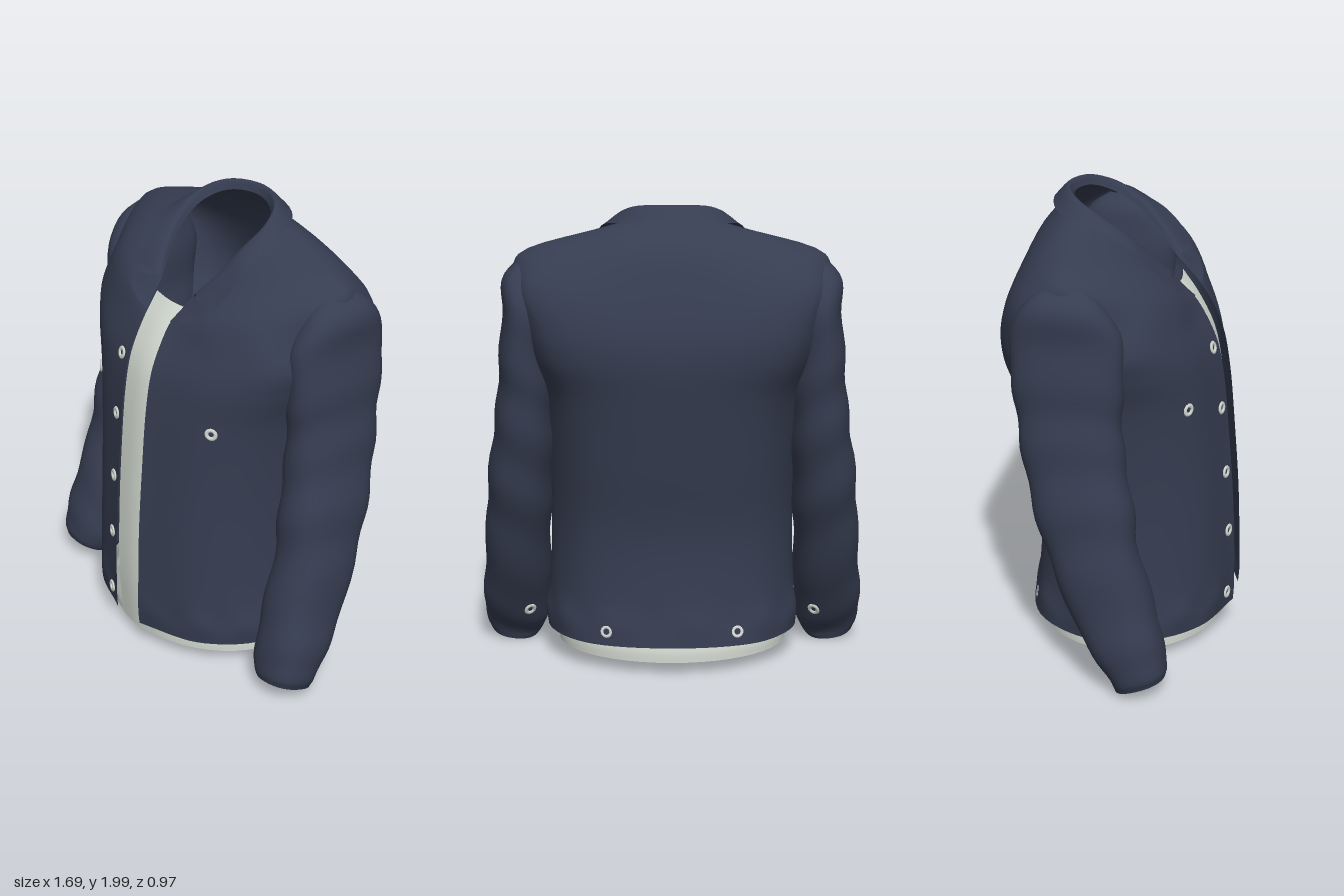
import * as THREE from 'three';

const V = (x, y, z) => new THREE.Vector3(x, y, z);
const mat = (name, color) => {
  const m = new THREE.MeshStandardMaterial({ color, side: THREE.DoubleSide });
  m.name = name;
  return m;
};

// Smooth surface through rows of control points; tweak(point, u, v) adds folds.
function loft(rows, nu, nv, closed = false, tweak = null) {
  const fine = rows.map(r => new THREE.CatmullRomCurve3(r, closed).getPoints(nu));
  const cols = [];
  for (let i = 0; i <= nu; i++) {
    cols.push(new THREE.CatmullRomCurve3(fine.map(r => r[i])).getPoints(nv));
  }
  const pos = [], index = [], w = closed ? nu : nu + 1;
  for (let j = 0; j <= nv; j++) {
    for (let i = 0; i < w; i++) {
      const p = cols[i][j];
      if (tweak) tweak(p, i / nu, j / nv);
      pos.push(p.x, p.y, p.z);
    }
  }
  for (let j = 0; j < nv; j++) {
    for (let i = 0; i < nu; i++) {
      const a = j * w + i, b = j * w + (i + 1) % w;
      index.push(a, b, a + w, b, b + w, a + w);
    }
  }
  const g = new THREE.BufferGeometry();
  g.setAttribute('position', new THREE.Float32BufferAttribute(pos, 3));
  g.setIndex(index);
  g.computeVertexNormals();
  return g;
}

// Half a row (front edge to centre back), mirrored into a whole row
const mirrorRow = half => [
  ...half.map(p => V(...p)),
  ...half.slice(0, -1).reverse().map(([x, y, z]) => V(-x, y, z)),
];

// Horizontal body section, open at the front
function bodyRow([y, w, zf, zb, p]) {
  const angles = [Math.asin(0.08 / w), 0.7, 1.2, 1.75, 2.45, Math.PI];
  return mirrorRow(angles.map(t => {
    const c = Math.cos(t), s = Math.abs(Math.sin(t));
    return c > 0 ? [w * s, y, zf * c] : [t === Math.PI ? 0 : w * Math.pow(s, p), y, zb * Math.pow(-c, p)];
  }));
}

export function createModel() {
  const group = new THREE.Group();
  const navy = mat('navy cloth', 0x363d51);
  const white = mat('white cloth', 0xd8dfd6);
  const metal = mat('button metal', 0xd8dcd6);
  const add = (name, geo, m) => {
    const mesh = new THREE.Mesh(geo, m);
    mesh.name = name;
    group.add(mesh);
    return mesh;
  };

  // Jacket body: hem to chest, then the yoke closing in to the neckline
  const neck = [[0.11, 1.65, 0.19], [0.165, 1.74, 0.1], [0.195, 1.83, 0.01],
    [0.2, 1.9, -0.1], [0.14, 1.945, -0.19], [0, 1.96, -0.235]];
  const body = add('jacketBody', loft([
    ...[
      [0.13, 0.545, 0.485, -0.415, 0.85],
      [0.2, 0.55, 0.49, -0.405, 0.85],
      [0.32, 0.535, 0.488, -0.385, 0.85],
      [0.6, 0.525, 0.478, -0.372, 0.8],
      [0.9, 0.535, 0.455, -0.42, 0.75],
      [1.2, 0.57, 0.425, -0.468, 0.68],
      [1.36, 0.62, 0.393, -0.488, 0.55],
      [1.48, 0.645, 0.34, -0.482, 0.48],
    ].map(bodyRow),
    mirrorRow([[0.08, 1.56, 0.285], [0.3, 1.62, 0.24], [0.5, 1.66, 0.13],
      [0.67, 1.68, -0.12], [0.59, 1.66, -0.36], [0, 1.66, -0.435]]),
    mirrorRow([[0.1, 1.61, 0.235], [0.28, 1.72, 0.14], [0.48, 1.78, 0.01],
      [0.645, 1.78, -0.15], [0.53, 1.79, -0.28], [0, 1.82, -0.37]]),
    mirrorRow(neck),
  ], 80, 60, false, (p, u) => {
    // gathered puckers just above the hem
    const k = 1 + 0.012 * Math.sin(u * 75) * Math.exp(-Math.pow((p.y - 0.23) / 0.06, 2));
    p.z *= k;
    if (Math.abs(p.x) > 0.15) p.x *= k;
  }), navy);

  // Turned-down collar: neckline, fold, outer edge
  add('collar', loft([
    mirrorRow(neck),
    mirrorRow([[0.13, 1.675, 0.2], [0.18, 1.77, 0.11], [0.21, 1.86, 0.02],
      [0.22, 1.94, -0.1], [0.16, 1.985, -0.2], [0, 1.997, -0.26]]),
    mirrorRow([[0.29, 1.68, 0.205], [0.31, 1.75, 0.15], [0.315, 1.82, 0.07],
      [0.295, 1.895, -0.09], [0.2, 1.925, -0.26], [0, 1.94, -0.32]]),
  ], 48, 10), navy);

  // Sleeves: [y, inner x, outer x, back z, front z, tilt]
  const sleeveSections = [
    [1.765, 0.6, 0.64, -0.21, -0.09, 0],
    [1.69, 0.55, 0.71, -0.31, 0.01, 0],
    [1.55, 0.525, 0.715, -0.37, 0.085, 0],
    [1.35, 0.515, 0.733, -0.365, 0.09, 0],
    [1.18, 0.5, 0.745, -0.345, 0.085, 0.04],
    [1, 0.505, 0.77, -0.315, 0.1, 0.1],
    [0.8, 0.515, 0.797, -0.265, 0.135, 0.18],
    [0.6, 0.53, 0.813, -0.195, 0.16, 0.25],
    [0.35, 0.542, 0.833, -0.09, 0.23, 0.35],
    [0.18, 0.552, 0.845, 0.005, 0.272, 0.4],
    [0.085, 0.577, 0.835, 0.065, 0.29, 0.4],
    [0.05, 0.6, 0.82, 0.075, 0.285, 0.38],
  ];
  const square = v => Math.sign(v) * Math.pow(Math.abs(v), 0.85);
  const sleeves = [1, -1].map(s => add(s > 0 ? 'leftSleeve' : 'rightSleeve', loft(
    sleeveSections.map(([y, x0, x1, z0, z1, tilt]) => Array.from({ length: 16 }, (_, i) => {
      const a = i / 16 * Math.PI * 2;
      const dx = (x1 - x0) / 2 * square(Math.cos(a)), dz = (z1 - z0) / 2 * square(Math.sin(a));
      return V(s * ((x0 + x1) / 2 + dx), y + tilt * dz + (y < 0.2 ? dx * 0.12 : 0), (z0 + z1) / 2 + dz);
    })), 32, 48, true, (p, u, v) => {
      // soft creases along the arm
      const k = 0.006 * Math.sin(v * 48 + 2 * Math.cos(u * Math.PI * 2)) * Math.sin(v * Math.PI);
      p.x += s * k * Math.cos(u * Math.PI * 2);
      p.z += k * Math.sin(u * Math.PI * 2);
    }), navy));

  // Small lapels below the collar notch, lying on the chest
  for (const s of [1, -1]) {
    add(s > 0 ? 'leftLapel' : 'rightLapel', loft([
      [V(s * 0.08, 1.56, 0.292), V(s * 0.1, 1.615, 0.24), V(s * 0.12, 1.67, 0.2)],
      [V(s * 0.14, 1.575, 0.29), V(s * 0.17, 1.615, 0.25), V(s * 0.17, 1.66, 0.215)],
      [V(s * 0.19, 1.59, 0.278), V(s * 0.24, 1.625, 0.25), V(s * 0.225, 1.66, 0.22)],
    ], 6, 6), navy);
  }

  // Shirt: front strip seen through the opening, and the hem band
  add('shirtFront', loft([
    [0.06, 0.439], [0.3, 0.453], [0.6, 0.445], [0.9, 0.425], [1.2, 0.395],
    [1.36, 0.36], [1.5, 0.29], [1.6, 0.22],
  ].map(([y, z]) => [V(-0.12, y, z - 0.015), V(0, y, z), V(0.12, y, z - 0.015)]), 6, 24), white);
  add('shirtHem', loft([[0.06, 0.5], [0.11, 0.502], [0.2, 0.482]].map(([y, w]) =>
    Array.from({ length: 16 }, (_, i) => {
      const a = i / 16 * Math.PI * 2, c = Math.cos(a);
      return V(w * Math.sin(a), y, c * (c > 0 ? 0.865 : 0.8) * w);
    })), 48, 6, true), white);

  // Flattened ring buttons placed on the cloth along a ray
  const ring = new THREE.TorusGeometry(0.02, 0.009, 6, 12).scale(1, 1, 0.6);
  const button = (name, target, x, y, dir, lift = 0.004) => {
    const ray = new THREE.Raycaster(V(x, y, -dir * 2), V(0, 0, dir));
    const hit = ray.intersectObject(target)[0];
    if (!hit) return;
    const n = hit.face.normal.clone();
    if (n.z * dir > 0) n.negate();
    const b = add(name, ring, metal);
    b.position.copy(hit.point).addScaledVector(n, lift);
    b.quaternion.setFromUnitVectors(V(0, 0, 1), n);
  };
  [[-0.14, 1.355], [-0.135, 1.08], [-0.132, 0.78], [-0.132, 0.5], [-0.145, 0.2]]
    .forEach(([x, y]) => button('frontButton', body, x, y, -1));
  [1, -1].forEach((s, i) => {
    button('chestButton', body, s * 0.383, 1.17, -1);
    button('cuffButton', sleeves[i], s * 0.63, 0.18, 1);
    // half sunk into the gathered cloth at the back
    button('backHemButton', body, s * 0.28, 0.19, 1, -0.003);
  });

  return group;
}
